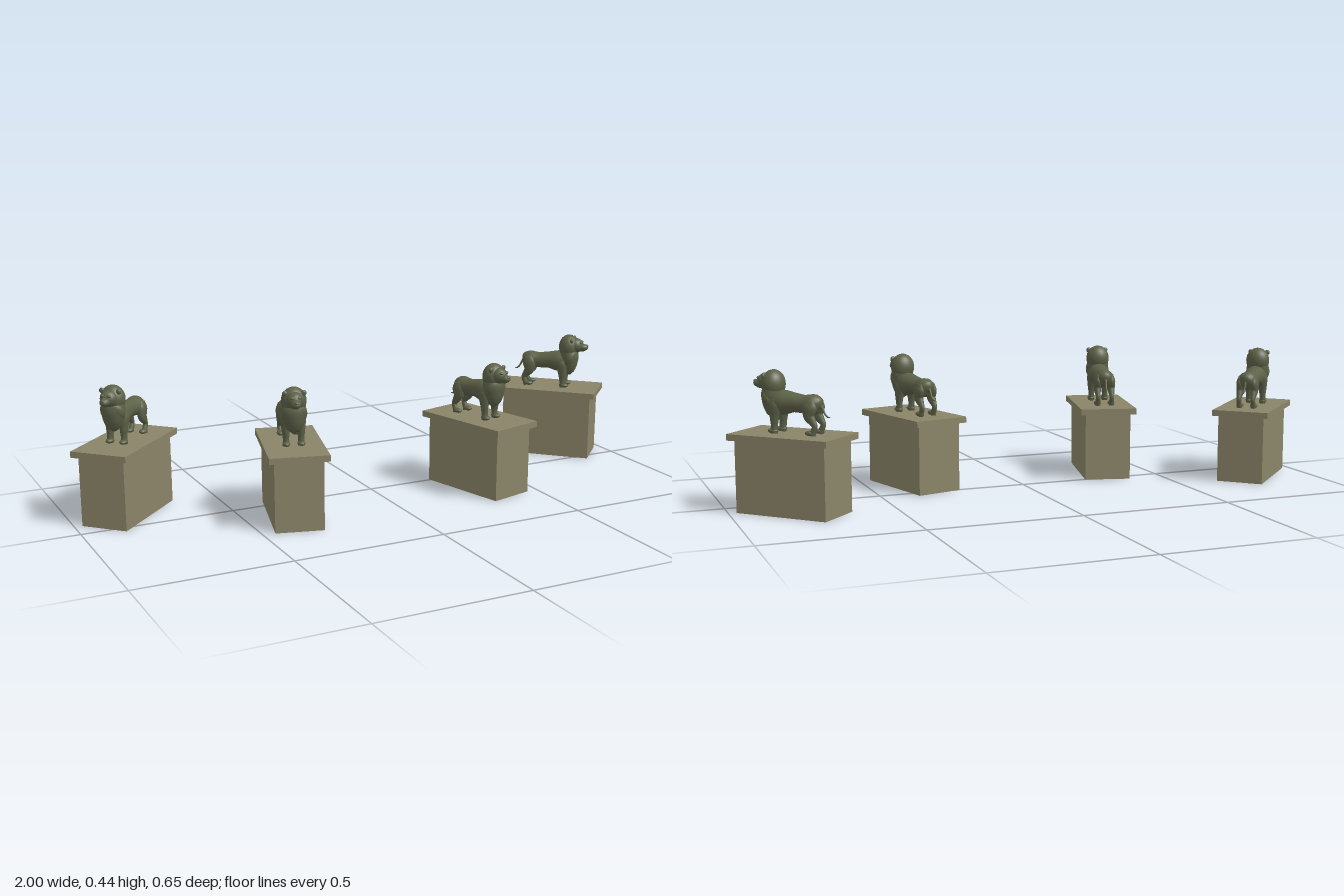
import * as THREE from 'three';

const stone = new THREE.MeshStandardMaterial({ color: 0x8a8468 });
const bronze = new THREE.MeshStandardMaterial({ color: 0x5c6147 });

function add(parent, name, geometry, material, x = 0, y = 0, z = 0) {
  const mesh = new THREE.Mesh(geometry, material);
  mesh.name = name;
  mesh.position.set(x, y, z);
  parent.add(mesh);
  return mesh;
}

// Smooth closed skin through oval sections [x, y, z, half width, half depth]
function loft(sections, rings = 28, sides = 20) {
  const path = new THREE.CatmullRomCurve3(sections.map(s => new THREE.Vector3(s[0], s[1], s[2])));
  const size = new THREE.CatmullRomCurve3(sections.map(s => new THREE.Vector3(s[3], s[4], 0)));
  const pos = [], index = [];
  const u = new THREE.Vector3(), v = new THREE.Vector3();
  for (let i = 0; i <= rings; i++) {
    const c = path.getPoint(i / rings), r = size.getPoint(i / rings), t = path.getTangent(i / rings);
    u.set(1, 0, 0).addScaledVector(t, -t.x).normalize();
    v.crossVectors(t, u);
    for (let j = 0; j < sides; j++) {
      const a = j / sides * Math.PI * 2;
      const p = c.clone().addScaledVector(u, r.x * Math.cos(a)).addScaledVector(v, r.y * Math.sin(a));
      pos.push(p.x, p.y, p.z);
    }
  }
  for (let i = 0; i < rings; i++) for (let j = 0; j < sides; j++) {
    const k = (j + 1) % sides, a = i * sides + j, b = i * sides + k;
    index.push(a, b, a + sides, b, b + sides, a + sides);
  }
  // end caps
  const last = rings * sides;
  for (let j = 1; j < sides - 1; j++) {
    index.push(0, j + 1, j, last, last + j, last + j + 1);
  }
  const g = new THREE.BufferGeometry();
  g.setAttribute('position', new THREE.Float32BufferAttribute(pos, 3));
  g.setIndex(index);
  g.computeVertexNormals();
  return g;
}

const ball = (rx, ry, rz) => new THREE.SphereGeometry(1, 24, 16).scale(rx, ry, rz);

function createLion() {
  const lion = new THREE.Group();
  lion.name = 'lion';

  // Trunk from rump to chest
  add(lion, 'body', loft([
    [0, 0.090, -0.106, 0.006, 0.007], [0, 0.092, -0.099, 0.022, 0.023],
    [0, 0.093, -0.078, 0.032, 0.031], [0, 0.092, -0.045, 0.030, 0.028],
    [0, 0.095, -0.010, 0.032, 0.030], [0, 0.094, 0.025, 0.037, 0.038],
    [0, 0.092, 0.055, 0.036, 0.039], [0, 0.090, 0.075, 0.024, 0.026],
    [0, 0.090, 0.083, 0.006, 0.008]]), bronze);

  // Mane: chest bib, slanted collar and hood round the face
  add(lion, 'chestMane', loft([
    [0, 0.045, 0.067, 0.006, 0.005], [0, 0.058, 0.067, 0.023, 0.018],
    [0, 0.085, 0.068, 0.034, 0.028], [0, 0.115, 0.066, 0.039, 0.034],
    [0, 0.140, 0.062, 0.036, 0.031], [0, 0.160, 0.060, 0.020, 0.020]]), bronze);
  add(lion, 'maneCollar', ball(0.041, 0.042, 0.026), bronze, 0, 0.108, 0.069).rotation.x = 0.4;
  add(lion, 'maneHood', ball(0.040, 0.044, 0.036), bronze, 0, 0.149, 0.063);

  // Head
  add(lion, 'face', ball(0.028, 0.027, 0.029), bronze, 0, 0.155, 0.087);
  add(lion, 'muzzle', ball(0.016, 0.0135, 0.022), bronze, 0, 0.149, 0.112);
  add(lion, 'nose', ball(0.007, 0.005, 0.005), bronze, 0, 0.155, 0.129);
  add(lion, 'chin', ball(0.011, 0.008, 0.014), bronze, 0, 0.141, 0.110);

  for (const side of [-1, 1]) {
    const x = side * 0.024;
    add(lion, 'ear', ball(0.009, 0.009, 0.006), bronze, side * 0.029, 0.176, 0.078);
    add(lion, 'brow', ball(0.008, 0.005, 0.006), bronze, side * 0.011, 0.167, 0.108);
    add(lion, 'frontLeg', loft([
      [x, 0.110, 0.040, 0.008, 0.012], [x, 0.085, 0.043, 0.016, 0.021],
      [x, 0.050, 0.047, 0.013, 0.015], [x, 0.022, 0.048, 0.010, 0.011],
      [x, 0.001, 0.050, 0.011, 0.012]]), bronze);
    add(lion, 'frontPaw', ball(0.0125, 0.008, 0.017), bronze, x, 0.008, 0.053);
    add(lion, 'hindLeg', loft([
      [x, 0.108, -0.080, 0.006, 0.014], [x, 0.085, -0.077, 0.014, 0.024],
      [x, 0.060, -0.076, 0.013, 0.019], [x, 0.043, -0.087, 0.010, 0.013],
      [x, 0.030, -0.095, 0.008, 0.009], [x, 0.014, -0.090, 0.0085, 0.009],
      [x, 0.001, -0.086, 0.009, 0.010]]), bronze);
    add(lion, 'hindPaw', ball(0.012, 0.008, 0.017), bronze, x, 0.008, -0.078);
  }

  // Tail curling out at the tip
  add(lion, 'tail', loft([
    [0, 0.106, -0.096, 0.005, 0.005], [0, 0.085, -0.107, 0.0038, 0.0038],
    [0, 0.066, -0.117, 0.003, 0.003], [0, 0.057, -0.126, 0.0025, 0.0025],
    [0, 0.056, -0.135, 0.001, 0.001]], 20, 10), bronze);
  return lion;
}

function createStatue() {
  const statue = new THREE.Group();
  statue.name = 'lionStatue';
  add(statue, 'plinth', new THREE.BoxGeometry(0.155, 0.227, 0.317), stone, 0, 0.1135, 0);
  add(statue, 'plinthCap', new THREE.BoxGeometry(0.19, 0.02, 0.352), stone, 0, 0.237, 0);
  const lion = createLion();
  lion.position.y = 0.247;
  statue.add(lion);
  return statue;
}

export function createModel() {
  const model = new THREE.Group();
  model.name = 'lionStatues';
  // Mirrored pairs, each turned outward: [x, z, degrees]
  for (const [x, z, turn] of [[0.345, 0.128, 15], [0.808, -0.131, 45]]) {
    for (const side of [-1, 1]) {
      const statue = createStatue();
      statue.position.set(side * x, 0, z);
      statue.rotation.y = side * THREE.MathUtils.degToRad(turn);
      model.add(statue);
    }
  }
  return model;
}
